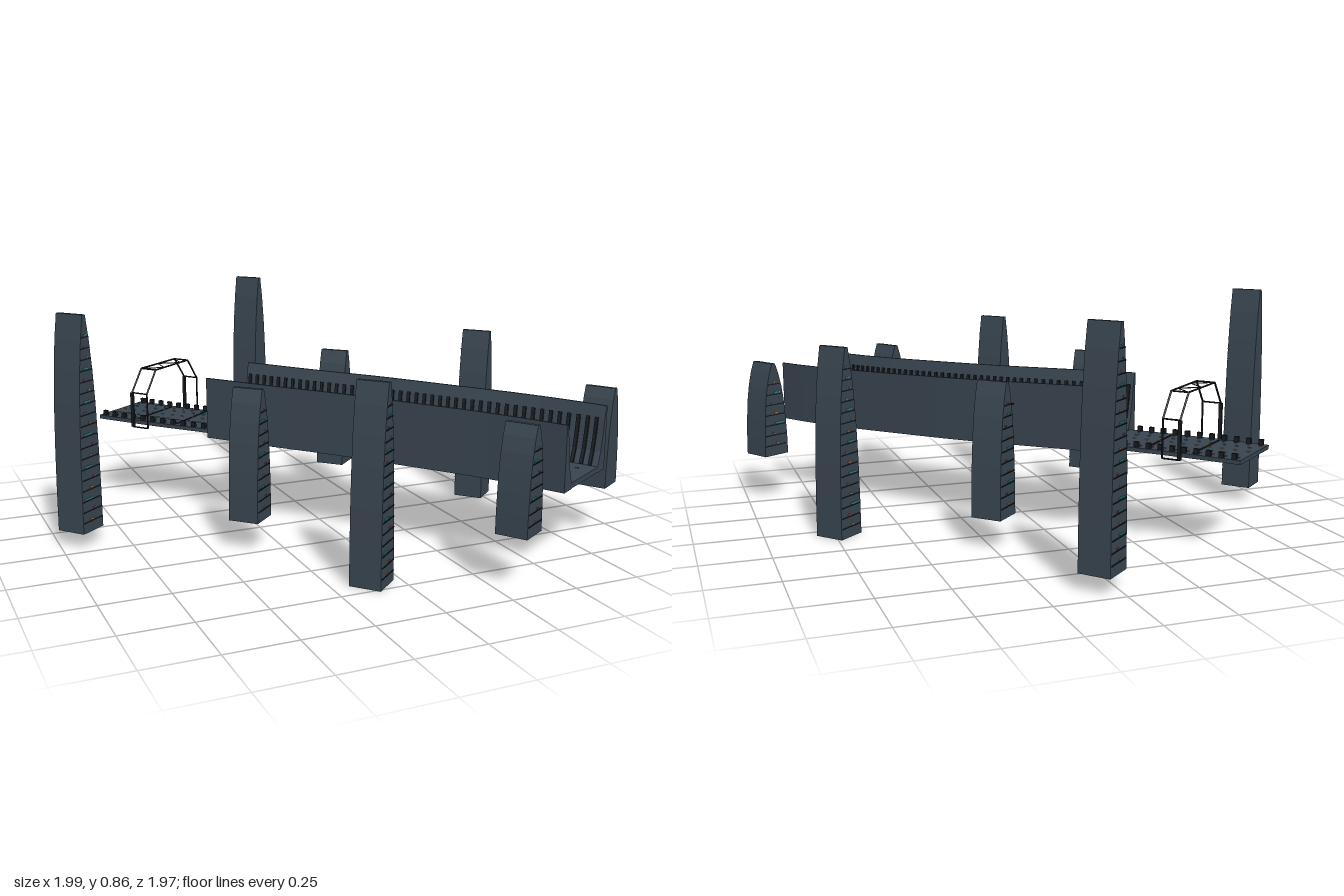
import * as THREE from 'three';
import { mergeGeometries } from 'three/addons/utils/BufferGeometryUtils.js';

const mat = (color) => new THREE.MeshStandardMaterial({ color, flatShading: true, side: THREE.DoubleSide });
const slate = mat(0x38444f), dark = mat(0x171b20), teal = mat(0x2a8f8c), orange = mat(0xb8763a), red = mat(0x9c3f4a);

// Centre line of the deck top, from the open end to the front end
const path = new THREE.CatmullRomCurve3([
  [-0.605, 0.353, -0.722], [-0.435, 0.352, -0.51], [-0.25, 0.35, -0.302], [-0.06, 0.343, -0.098],
  [0.13, 0.337, 0.1], [0.31, 0.331, 0.312], [0.48, 0.326, 0.52], [0.6, 0.322, 0.69], [0.665, 0.32, 0.797],
].map((p) => new THREE.Vector3(...p)));
const LENGTH = path.getLength();
const WALL_START = 0.27;

const poly = (pts) => new THREE.Shape(pts.map(([x, y]) => new THREE.Vector2(x, y)));
const rect = (u0, u1, v0, v1) => poly([[u0, v0], [u1, v0], [u1, v1], [u0, v1]]);
const mirrored = (pts, side) => pts.map(([u, v]) => [u * side, v]);

// Point at path fraction t, u across the track and v above the deck
function at(t, u, v) {
  const s = Math.min(Math.max(t, 0), 1);
  const p = path.getPointAt(s), d = path.getTangentAt(s).setY(0).normalize();
  return new THREE.Vector3(p.x + d.z * u, p.y + v, p.z - d.x * u);
}

// Sweep a cross-section along the path between two fractions
function sweep(shape, t0, t1, steps = 1) {
  const g = new THREE.ExtrudeGeometry(shape, { depth: 1, steps, bevelEnabled: false });
  const pos = g.attributes.position;
  for (let i = 0; i < pos.count; i++) {
    const p = at(t0 + (t1 - t0) * pos.getZ(i), pos.getX(i), pos.getY(i));
    pos.setXYZ(i, p.x, p.y, p.z);
  }
  g.computeVertexNormals();
  return g;
}

function add(parent, name, geos, material) {
  const mesh = new THREE.Mesh(Array.isArray(geos) ? mergeGeometries(geos) : geos, material);
  mesh.name = name;
  parent.add(mesh);
  return mesh;
}

function rod(a, b, r) {
  return new THREE.TubeGeometry(new THREE.LineCurve3(a, b), 1, r, 6);
}

function buildTrack(root) {
  const track = new THREE.Group();
  track.name = 'track';
  root.add(track);
  add(track, 'openDeck', sweep(rect(-0.14, 0.14, -0.015, 0), 0, WALL_START, 8), slate);
  add(track, 'walledDeck', sweep(rect(-0.165, 0.165, -0.02, 0), WALL_START, 1, 24), slate);

  // Walls: upright outside, curved inside
  const inner = [[0.172, 0.215], [0.162, 0.17], [0.152, 0.11], [0.138, 0.05], [0.118, 0]];
  const wall = [[0.118, -0.022], [0.18, -0.022], [0.18, 0.215], ...inner];
  const rib = [...inner.slice(1), ...inner.slice(1).reverse().map(([u, v]) => [u - 0.007, v + 0.003])];
  const walls = [], ribs = [];
  for (const side of [-1, 1]) {
    walls.push(sweep(poly(mirrored(wall, side)), WALL_START, 1, 24));
    for (let i = 0; i < 44; i++) {
      const t = WALL_START + 0.006 + i * 0.0164;
      ribs.push(sweep(poly(mirrored(rib, side)), t, t + 0.006));
    }
  }
  add(track, 'sideWalls', walls, slate);
  add(track, 'wallRibs', ribs, dark);

  // Panel seams
  const seams = [];
  for (let i = 1; i < 11; i++) seams.push(sweep(rect(-0.118, 0.118, 0, 0.002), i / 11 - 0.002, i / 11 + 0.002));
  add(track, 'deckSeams', seams, dark);

  // Lane marker lights
  const centre = [], lanes = [], kerbs = [], edgeLights = [];
  for (let i = 0; i < 40; i++) {
    const t = 0.01 + i / 41;
    centre.push(sweep(rect(-0.003, 0.003, 0, 0.003), t, t + 0.005));
    for (const u of [-0.06, 0.06]) lanes.push(sweep(rect(u - 0.002, u + 0.002, 0, 0.003), t + 0.008, t + 0.014));
  }
  // Kerb blocks on the open deck
  for (let i = 0; i < 11; i++) {
    for (const u of [-0.128, 0.128]) {
      const t = 0.008 + i * 0.0235;
      kerbs.push(sweep(rect(u - 0.006, u + 0.006, 0, 0.02), t, t + 0.009));
      edgeLights.push(sweep(rect(u * 0.8 - 0.003, u * 0.8 + 0.003, 0, 0.003), t, t + 0.003));
    }
  }
  add(track, 'centreLights', centre, orange);
  add(track, 'laneLights', lanes, teal);
  add(track, 'kerbBlocks', kerbs, dark);
  add(track, 'edgeLights', edgeLights, red);
}

// Open frame arch over the track
function buildGantry(root) {
  const outline = [[-0.185, -0.015], [-0.185, 0.125], [-0.118, 0.212], [0.118, 0.212], [0.185, 0.125], [0.185, -0.015]];
  const t0 = 0.103, t1 = 0.137, rods = [];
  for (const t of [t0, t1]) {
    for (let i = 0; i < 5; i++) rods.push(rod(at(t, ...outline[i]), at(t, ...outline[i + 1]), 0.0035));
  }
  for (const p of outline) rods.push(rod(at(t0, ...p), at(t1, ...p), 0.003));
  for (let i = 0; i < 4; i++) {
    const u = -0.118 + i * 0.059;
    rods.push(rod(at(i % 2 ? t1 : t0, u, 0.212), at(i % 2 ? t0 : t1, u + 0.059, 0.212), 0.002));
  }
  add(root, 'gantryFrame', rods, dark);
  const posts = [-1, 1].map((s) => sweep(rect(s * 0.185 - 0.005, s * 0.185 + 0.005, -0.015, 0.125), t0 - 0.003, t0 + 0.003));
  add(root, 'gantryPosts', posts, dark);
}

// Blade tower: pointed profile across the track, constant along it
function buildTower(root, x, z, y0, y1, angle, side) {
  const h = y1 - y0, tower = new THREE.Group();
  tower.name = 'tower';
  const half = [[0.0575, 0], [0.056, 0.2], [0.052, 0.4], [0.045, 0.6], [0.036, 0.75], [0.023, 0.89], [0.008, 1]];
  const widthAt = (f) => {
    const i = Math.max(1, half.findIndex((p) => p[1] >= f));
    const [a, b] = [half[i - 1], half[i]];
    return a[0] + (b[0] - a[0]) * (f - a[1]) / (b[1] - a[1]);
  };
  const pts = half.map(([u, f]) => [u, f * h]);
  const body = new THREE.ExtrudeGeometry(poly([...pts, ...mirrored(pts, -1).reverse()]), { depth: 0.115, bevelEnabled: false });
  add(tower, 'towerBody', body.translate(0, 0, -0.0575), slate);

  // Floor ledges and lit windows on one end
  const box = (w, ht, d, u, y, zz) => new THREE.BoxGeometry(w, ht, d).translate(u, y, zz);
  const ledges = [], lit = [[], [], []];
  const rows = Math.round(h / 0.04);
  for (let i = 1; i < rows - 1; i++) {
    const f = i / rows, w = widthAt(f), y = f * h;
    ledges.push(box(w * 1.8, 0.003, 0.004, 0, y, side * 0.0585));
    const u = (((i * 37) % 11) / 11 - 0.5) * w * 0.9;
    lit[i % 3].push(box(w * (i % 3 ? 0.22 : 0.75), 0.005, 0.004, u, y + 0.008, side * 0.0585));
  }
  add(tower, 'floorLedges', ledges, dark);
  [teal, orange, red].forEach((m, i) => add(tower, 'windowLights', lit[i], m));
  tower.position.set(x, y0, z);
  tower.rotation.y = Math.PI / 2 - angle;
  root.add(tower);
}

export function createModel() {
  const root = new THREE.Group();
  root.name = 'raceTrack';
  buildTrack(root);
  buildGantry(root);

  // Tower pairs: right x, z, left x, z, base, top, heading in degrees
  for (const [rx, rz, lx, lz, y0, y1, deg] of [
    [0.05, -0.91, -0.92, -0.1, 0.06, 0.86, 50],
    [0.24, -0.38, -0.36, 0.193, 0.115, 0.6, 46],
    [0.733, -0.052, -0.107, 0.683, 0.0, 0.7, 49],
    [0.913, 0.543, 0.327, 0.9, 0.19, 0.565, 58],
  ]) {
    const a = THREE.MathUtils.degToRad(deg);
    buildTower(root, rx, rz, y0, y1, a, -1);
    buildTower(root, lx, lz, y0, y1, a, 1);
  }

  // Trackside post and hovering sensor
  const v = (x, y, z) => new THREE.Vector3(x, y, z);
  add(root, 'tracksidePost', [
    rod(v(-0.19, 0.35, -0.475), v(-0.19, 0.44, -0.475), 0.004),
    rod(v(-0.19, 0.35, -0.475), v(-0.19, 0.37, -0.475), 0.01),
  ], dark);
  add(root, 'sensor', [
    rod(v(0.14, 0.45, -0.275), v(0.14, 0.49, -0.275), 0.003),
    rod(v(0.125, 0.49, -0.265), v(0.145, 0.49, -0.28), 0.004),
  ], dark);
  return root;
}
